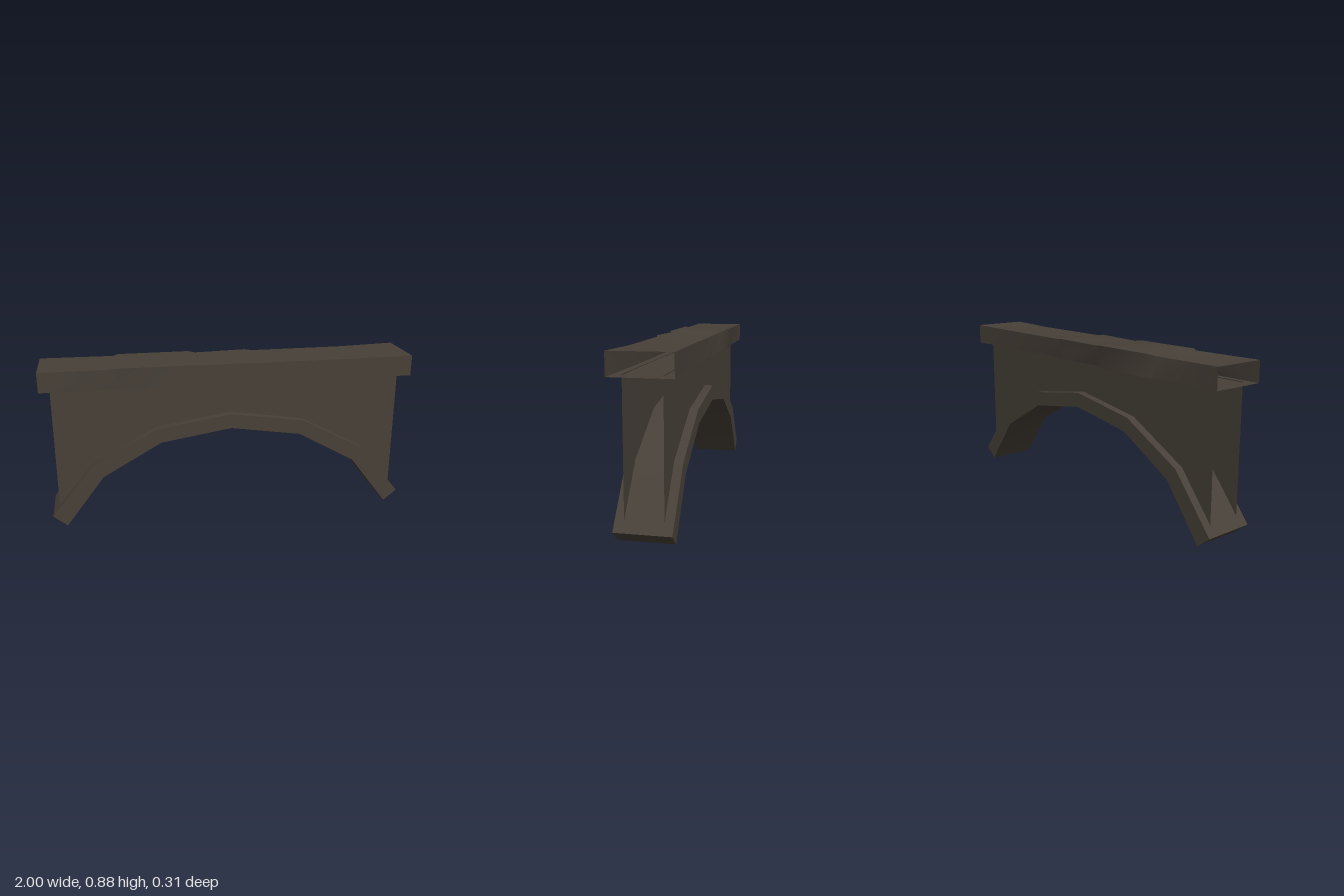
import * as THREE from 'three';
import { toCreasedNormals } from 'three/addons/utils/BufferGeometryUtils.js';

const stone = new THREE.MeshStandardMaterial({ color: 0x474038, side: THREE.DoubleSide });
stone.name = 'dark brown stone';

// Half profiles of the arch, from the foot to the crown
const outer = [[0.983, 0.06], [0.754, 0.342], [0.406, 0.527], [0, 0.59]];
const inner = [[0.91, 0], [0.70, 0.273], [0.383, 0.451], [0, 0.51]];

// Mirrors a half profile into a full run from +x to -x
const mirrored = (half) => [...half, ...half.slice(0, -1).reverse().map(([x, y]) => [-x, y])];
const shapeOf = (points) => new THREE.Shape(points.map(([x, y]) => new THREE.Vector2(x, y)));

function makePart(name, geometry) {
  const mesh = new THREE.Mesh(geometry, stone);
  mesh.name = name;
  return mesh;
}

// Solid faceted arch, shaded softly along its curve
function archGeometry() {
  const shape = shapeOf([...mirrored(outer), ...mirrored(inner).reverse()]);
  const geometry = new THREE.ExtrudeGeometry(shape, { depth: 0.275, bevelEnabled: false });
  geometry.translate(0, 0, -0.1375);
  return toCreasedNormals(geometry, 0.7);
}

// Thin wall between the arch and the beam, its lower edge sunk into the arch
function wallGeometry() {
  const half = [[0.946, 0.768], [0.946, 0.07], ...outer.slice(1).map(([x, y]) => [x, y - 0.03])];
  return new THREE.ShapeGeometry(shapeOf(mirrored(half)));
}

// Hollow open-ended beam with slightly uneven sections: x, back z, front z, bottom, top
function beamGeometry() {
  const sections = [
    [-1, -0.147, 0.141, 0.763, 0.871],
    [-0.61, -0.142, 0.137, 0.764, 0.869],
    [-0.585, -0.154, 0.149, 0.759, 0.875],
    [-0.195, -0.154, 0.149, 0.759, 0.875],
    [-0.16, -0.141, 0.138, 0.764, 0.869],
    [0.125, -0.149, 0.149, 0.762, 0.873],
    [0.165, -0.141, 0.138, 0.764, 0.868],
    [0.68, -0.141, 0.138, 0.764, 0.868],
    [1, -0.155, 0.151, 0.76, 0.873],
  ];
  const corners = sections.map(([x, back, front, low, high]) => [
    [x, low, front], [x, high, front], [x, high, back], [x, low, back],
  ]);
  const positions = [];
  for (let i = 0; i < corners.length - 1; i++) {
    for (let k = 0; k < 4; k++) {
      const a = corners[i][k], b = corners[i + 1][k];
      const c = corners[i + 1][(k + 1) % 4], d = corners[i][(k + 1) % 4];
      positions.push(...a, ...b, ...c, ...a, ...c, ...d);
    }
  }
  const geometry = new THREE.BufferGeometry();
  geometry.setAttribute('position', new THREE.Float32BufferAttribute(positions, 3));
  return toCreasedNormals(geometry, 0.7);
}

export function createModel() {
  const bridge = new THREE.Group();
  bridge.name = 'archBridge';
  bridge.add(makePart('arch', archGeometry()));
  bridge.add(makePart('deckBeam', beamGeometry()));

  const frontWall = makePart('frontWall', wallGeometry());
  frontWall.position.z = 0.093;
  const backWall = makePart('backWall', wallGeometry());
  backWall.rotation.y = Math.PI;
  backWall.position.z = -0.093;
  bridge.add(frontWall, backWall);
  return bridge;
}
